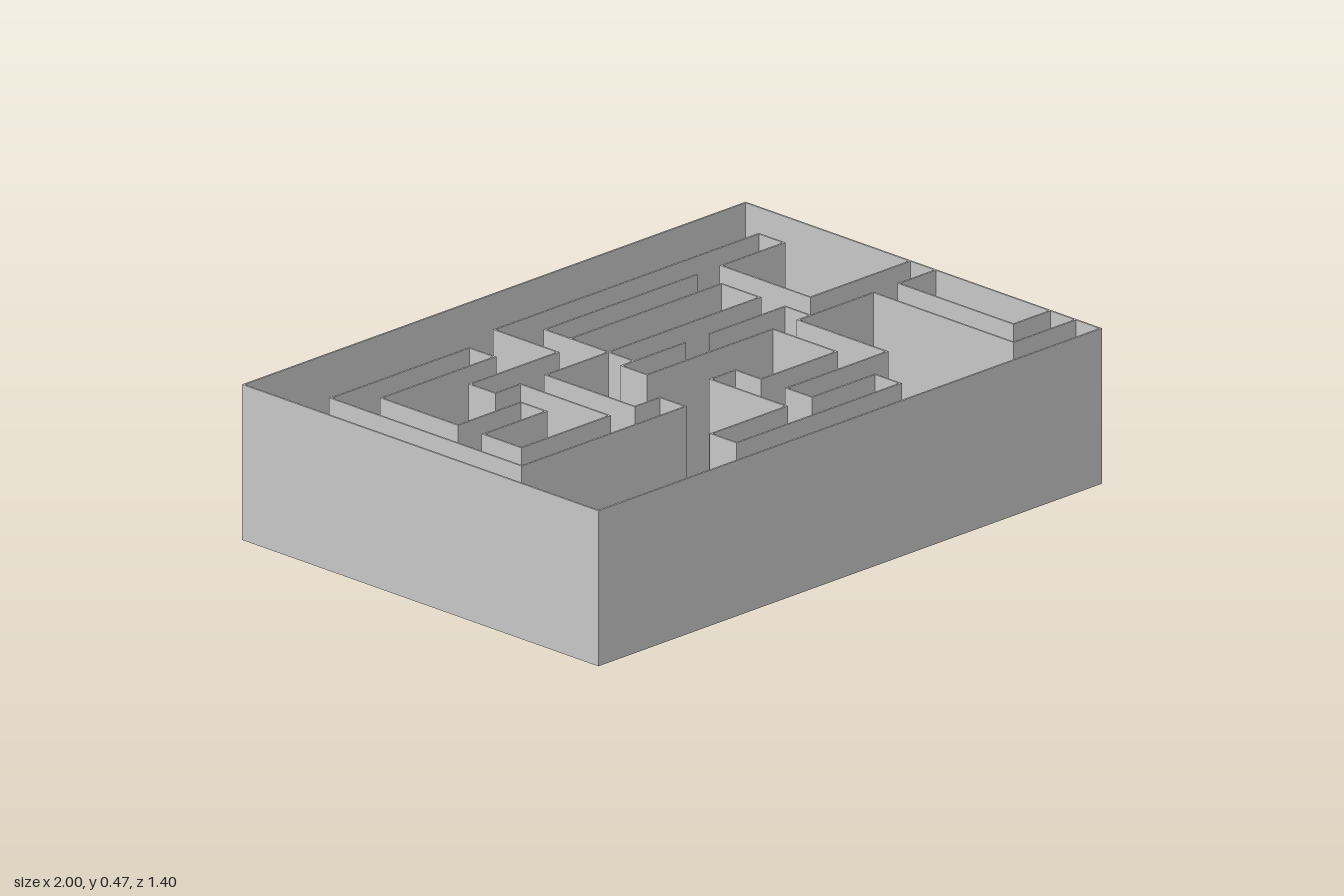
import * as THREE from 'three';

const H = 0.465, T = 0.006, W = 1, D = 0.7;

export function createModel() {
  const model = new THREE.Group();
  model.name = 'maze';
  const material = new THREE.MeshStandardMaterial({ color: 0xcccccc, side: THREE.DoubleSide });

  // Thin upright panels along each leg of a path of [x, z] points
  function wallRun(name, points) {
    const run = new THREE.Group();
    run.name = name;
    for (let i = 1; i < points.length; i++) {
      const [x0, z0] = points[i - 1], [x1, z1] = points[i];
      const panel = new THREE.Mesh(
        new THREE.BoxGeometry(Math.abs(x1 - x0) + T, H, Math.abs(z1 - z0) + T), material);
      panel.position.set((x0 + x1) / 2, H / 2, (z0 + z1) / 2);
      panel.name = name + 'Panel';
      run.add(panel);
    }
    model.add(run);
  }

  // Outer walls on three sides
  const ox = W - T / 2, oz = D - T / 2;
  wallRun('outerWall', [[ox, -oz], [-ox, -oz], [-ox, oz], [ox, oz]]);

  // Fourth outer wall with the doorway cut up from the ground
  const outline = [[-D, 0], [-0.047, 0], [-0.047, 0.17], [0.043, 0.17], [0.043, 0], [D, 0], [D, H], [-D, H]];
  const shape = new THREE.Shape(outline.map(([u, y]) => new THREE.Vector2(u, y)));
  const doorWall = new THREE.Mesh(
    new THREE.ExtrudeGeometry(shape, { depth: T, bevelEnabled: false }), material);
  doorWall.rotation.y = Math.PI / 2;
  doorWall.position.x = W - T;
  doorWall.name = 'doorwayWall';
  model.add(doorWall);

  // Inner maze walls
  const end = W - T;
  wallRun('upperMazeWall', [
    [-0.1, -0.3], [0.5, -0.3], [0.5, -0.15], [-0.35, -0.15], [-0.35, 0.2], [-0.25, 0.2], [-0.25, 0.3],
    [-0.9, 0.3], [-0.9, -0.45], [-0.35, -0.45], [-0.35, -0.35], [-0.8, -0.35], [-0.8, -0.05],
    [-0.55, -0.05], [-0.55, 0.05], [-0.8, 0.05], [-0.8, 0.2], [-0.45, 0.2], [-0.45, -0.15],
    [-0.55, -0.15], [-0.55, -0.25], [-0.2, -0.25], [-0.2, -0.5], [0.85, -0.5], [0.85, -0.4],
    [0.6, -0.4], [0.6, -0.05], [end, -0.05]]);
  wallRun('lowerMazeWall', [
    [0.1, -0.05], [-0.15, -0.05], [-0.15, 0.05], [0.35, 0.05], [0.35, 0.3], [0.05, 0.3], [0.05, 0.2],
    [-0.05, 0.2], [-0.05, 0.5], [-0.35, 0.5], [-0.35, 0.6], [0.3, 0.6], [0.3, 0.5], [0.05, 0.5],
    [0.05, 0.4], [0.45, 0.4], [0.45, 0.05], [0.75, 0.05], [0.75, 0.6], [end, 0.6]]);
  wallRun('centreWall', [[0.5, -0.4], [-0.1, -0.4], [-0.1, -0.05]]);
  wallRun('stubWall', [[0.2, -0.05], [0.5, -0.05], [0.5, 0.05]]);
  wallRun('doorwayBayWall', [[end, 0.05], [0.85, 0.05], [0.85, 0.5], [end, 0.5]]);

  return model;
}
